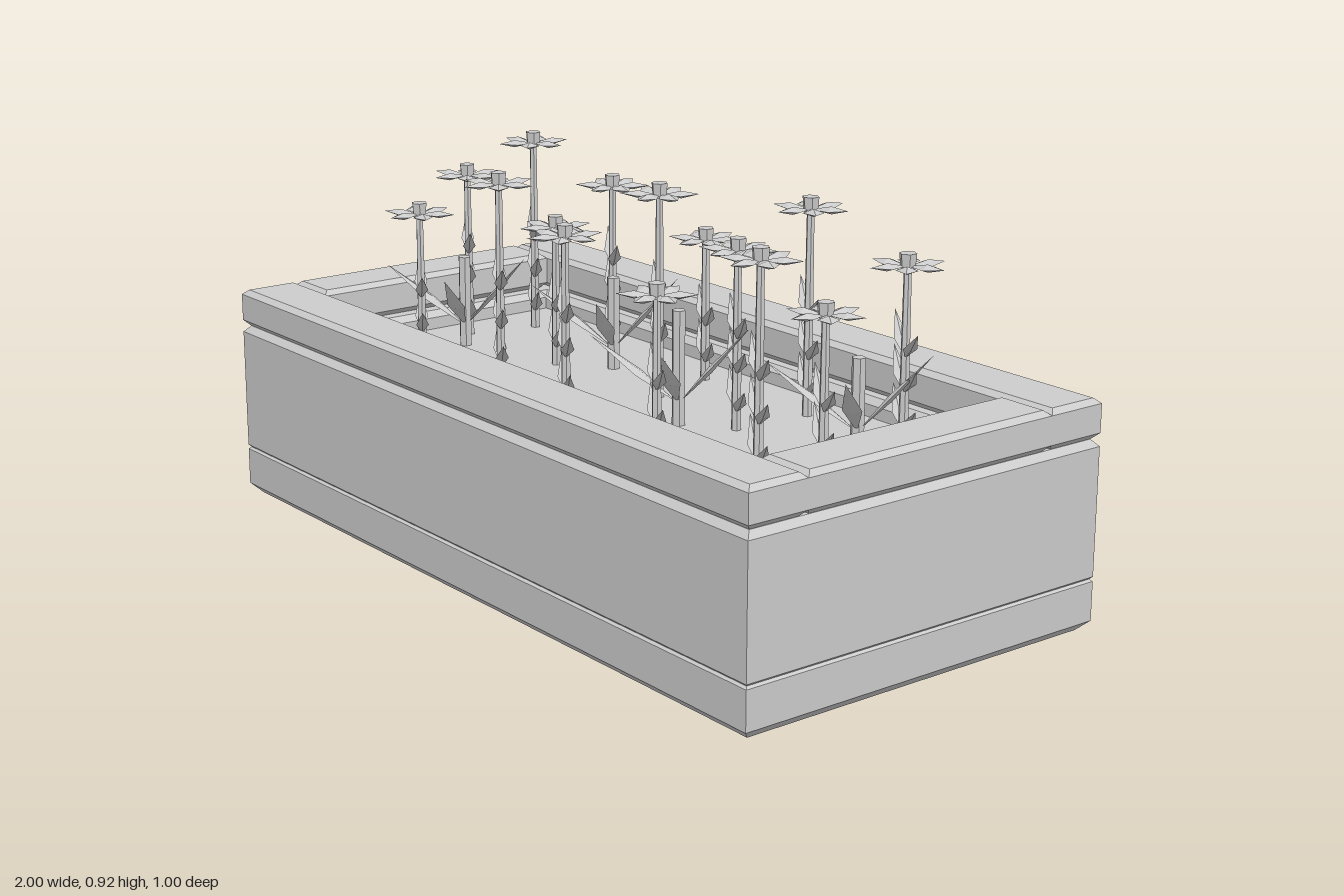
import * as THREE from 'three';

const grey = new THREE.MeshStandardMaterial({ color: 0xcccccc, flatShading: true });
grey.name = 'grey stone';

function add(parent, name, geometry, x = 0, y = 0, z = 0) {
  const mesh = new THREE.Mesh(geometry, grey);
  mesh.name = name;
  mesh.position.set(x, y, z);
  parent.add(mesh);
  return mesh;
}

// Rectangular loft through [height, inset] sections, closed at both ends
function rectLoft(halfX, halfZ, sections) {
  const pos = [], index = [];
  for (const [y, inset] of sections) {
    const x = halfX - inset, z = halfZ - inset;
    pos.push(-x, y, z, x, y, z, x, y, -z, -x, y, -z);
  }
  const last = (sections.length - 1) * 4;
  for (let k = 0; k < last; k += 4) {
    for (let i = 0; i < 4; i++) {
      const a = k + i, b = k + (i + 1) % 4;
      index.push(a, b, b + 4, a, b + 4, a + 4);
    }
  }
  index.push(0, 2, 1, 0, 3, 2, last, last + 1, last + 2, last, last + 2, last + 3);
  const geometry = new THREE.BufferGeometry();
  geometry.setAttribute('position', new THREE.Float32BufferAttribute(pos, 3));
  geometry.setIndex(index);
  const flat = geometry.toNonIndexed();
  flat.computeVertexNormals();
  return flat;
}

// Faceted blade along +x from the origin, widest at the given fraction of its length
function blade(length, width, thickness, widest) {
  const geometry = new THREE.OctahedronGeometry(1);
  const p = geometry.attributes.position;
  for (let i = 0; i < p.count; i++) {
    const x = p.getX(i);
    const t = x > 0.5 ? 1 : x < -0.5 ? 0 : widest;
    p.setXYZ(i, t * length, p.getY(i) * thickness / 2, p.getZ(i) * width / 2);
  }
  geometry.computeVertexNormals();
  return geometry;
}

const SOIL = 0.4;
const petalGeometry = blade(0.092, 0.05, 0.018, 0.55);
const centreGeometry = new THREE.CylinderGeometry(0.02, 0.017, 0.035, 6);
const leafGeometry = blade(0.145, 0.032, 0.012, 0.4);

// Places a blade from a point towards a horizontal direction with an upward pitch
function aim(mesh, azimuth, pitch) {
  mesh.rotation.set(0, azimuth, pitch, 'YZX');
}

function flower(x, z, height, turn) {
  const group = new THREE.Group();
  group.name = 'flower';
  group.position.set(x, 0, z);
  const length = height - SOIL;
  add(group, 'stem', new THREE.CylinderGeometry(0.009, 0.012, length, 6), 0, SOIL + length / 2, 0);
  add(group, 'flowerCentre', centreGeometry, 0, height + 0.008, 0);
  for (let i = 0; i < 6; i++) {
    aim(add(group, 'petal', petalGeometry, 0, height - 0.004, 0), turn + i * Math.PI / 3, 0.04);
  }
  // Leaf pairs up the stem, one more on the tallest plants
  const levels = height > 0.85 ? [0.44, 0.53, 0.625] : height > 0.8 ? [0.44, 0.53, 0.61] : [0.44, 0.53];
  for (const y of levels) {
    for (const side of [0, Math.PI]) {
      aim(add(group, 'stemLeaf', leafGeometry, 0, y, 0), -0.55 + side, 0.6);
    }
  }
  return group;
}

// Short stalk with three long leaves
function leafTuft(x, z, height) {
  const group = new THREE.Group();
  group.name = 'leafTuft';
  group.position.set(x, 0, z);
  add(group, 'stalk', new THREE.CylinderGeometry(0.016, 0.016, height - SOIL, 6), 0, (height + SOIL) / 2, 0);
  const base = SOIL + 0.05;
  for (const [dx, dy, dz] of [[0.14, 0.19, -0.09], [-0.19, 0.14, 0.11], [0.09, 0.15, 0.12]]) {
    const reach = Math.hypot(dx, dz);
    const leaf = add(group, 'longLeaf', blade(Math.hypot(reach, dy), 0.045, 0.014, 0.45), 0, base, 0);
    aim(leaf, Math.atan2(-dz, dx), Math.atan2(dy, reach));
  }
  return group;
}

export function createModel() {
  const model = new THREE.Group();
  model.name = 'flowerPlanter';

  // Plinth and hollow box
  add(model, 'plinth', rectLoft(1, 0.5, [[0, 0.024], [0.024, 0], [0.117, 0], [0.122, 0.006]]));
  add(model, 'planterBox', rectLoft(1, 0.5, [
    [0.122, 0.006], [0.128, 0], [0.43, 0], [0.446, 0.015],
    [0.446, 0.165], [0.43, 0.18], [SOIL - 0.01, 0.18],
  ]));
  add(model, 'soil', new THREE.BoxGeometry(1.64, 0.01, 0.64), 0, SOIL - 0.005, 0);

  // Chamfered rim beams
  const beam = [[0.447, 0.014], [0.461, 0], [0.528, 0], [0.54, 0.014]];
  for (const s of [-1, 1]) {
    add(model, 'longRimBeam', rectLoft(1, 0.0775, beam), 0, 0, s * 0.4225);
    add(model, 'shortRimBeam', rectLoft(0.075, 0.345, beam), s * 0.925, 0, 0);
  }

  // Five columns of three flowers, cycling through three heights
  const heights = [0.89, 0.82, 0.75];
  const columns = [
    [[-0.68, -0.185], [-0.725, -0.01], [-0.68, 0.165]],
    [[-0.39, -0.22], [-0.35, -0.015], [-0.3, 0.185]],
    [[-0.02, -0.22], [0.03, -0.04], [0, 0.21]],
    [[0.36, -0.215], [0.345, -0.015], [0.34, 0.21]],
    [[0.685, -0.21], [0.69, 0.03], [0.675, 0.2]],
  ];
  columns.forEach((column, c) => column.forEach(([x, z], r) => {
    model.add(flower(x, z, heights[(c + r) % 3], 0.25 + 0.2 * ((c * 3 + r) % 4)));
  }));

  // Leaf tufts between the flowers
  for (const [x, z, h] of [[-0.64, 0.06, 0.63], [-0.235, -0.105, 0.63], [0.235, 0.065, 0.67], [0.645, -0.11, 0.62]]) {
    model.add(leafTuft(x, z, h));
  }
  return model;
}
